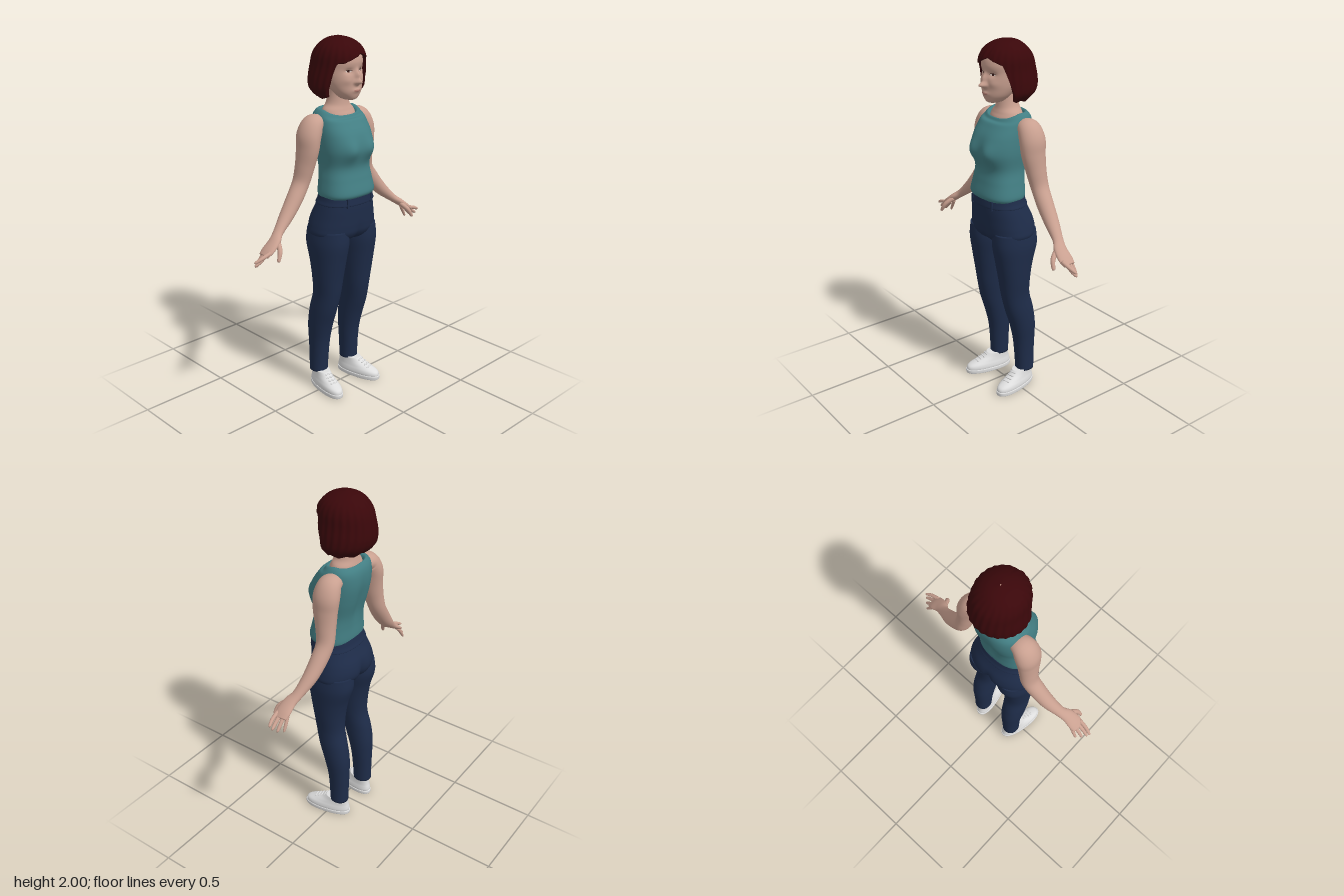
import * as THREE from 'three';
import { mergeVertices } from 'three/addons/utils/BufferGeometryUtils.js';

const { exp, sin, cos, abs, min, max, PI, sign } = Math;
const V = (x, y, z) => new THREE.Vector3(x, y, z);
const smooth = THREE.MathUtils.smoothstep;

// Smooth interpolation through rows of numbers, t from 0 to 1
function sample(rows, t) {
  const f = min(max(t, 0), 1) * (rows.length - 1), i = min(Math.floor(f), rows.length - 2), k = f - i;
  const at = j => rows[min(max(j, 0), rows.length - 1)];
  const [a, b, c, d] = [at(i - 1), at(i), at(i + 1), at(i + 2)];
  return b.map((q, n) => q + 0.5 * k * (c[n] - a[n] + k * (2 * a[n] - 5 * q + 4 * c[n] - d[n] + k * (3 * (q - c[n]) + d[n] - a[n]))));
}

// Welded grid surface from fn(u, v)
function grid(fn, nu, nv) {
  const pos = [], idx = [];
  for (let j = 0; j <= nv; j++) for (let i = 0; i <= nu; i++) pos.push(...fn((i % nu) / nu, j / nv).toArray());
  for (let j = 0; j < nv; j++) for (let i = 0; i < nu; i++) {
    const a = j * (nu + 1) + i, d = a + nu + 1;
    idx.push(a, a + 1, d + 1, a, d + 1, d);
  }
  const g = new THREE.BufferGeometry();
  g.setAttribute('position', new THREE.Float32BufferAttribute(pos, 3));
  g.setIndex(idx);
  const m = mergeVertices(g, 1e-5);
  m.computeVertexNormals();
  return m;
}

// Horizontal section from height, half width, front z, back z, centre x
const ring = (y, hx, zf, zb, x = 0) => [x, y, (zf + zb) / 2, hx, (zf - zb) / 2];

// Point on a body of elliptical sections [x, y, z, ra, rb]
function pointOn(rows, { n = 2, warp, path = false } = {}) {
  return (th, t, scale = 1) => {
    const [x, y, z, ra, rb] = sample(rows, t);
    let T = V(0, 1, 0);
    if (path) {
      const p = sample(rows, t - 0.01), q = sample(rows, t + 0.01);
      T = V(q[0] - p[0], q[1] - p[1], q[2] - p[2]).normalize();
    }
    const B = V(0, 0, 1).addScaledVector(T, -T.z).normalize(), A = T.clone().cross(B);
    const s = sin(th), c = cos(th), e = 2 / n;
    const p = V(x, y, z).addScaledVector(A, scale * ra * sign(s) * abs(s) ** e).addScaledVector(B, scale * rb * sign(c) * abs(c) ** e);
    if (warp) warp(p, th);
    return p;
  };
}
function loft(rows, opts = {}) {
  const f = pointOn(rows, opts), nv = opts.steps || 40;
  return grid((u, v) => {
    const j = Math.round(v * (nv + 2));
    return f(u * 2 * PI, (j - 1) / nv, j === 0 || j === nv + 2 ? 0 : 1);
  }, opts.seg || 40, nv + 2);
}

function mirrored(geo) {
  const g = geo.clone().scale(-1, 1, 1), a = g.index.array;
  for (let i = 0; i < a.length; i += 3) [a[i], a[i + 1]] = [a[i + 1], a[i]];
  return g;
}
const bump = (x, y, cx, cy, sx, sy) => exp(-(((x - cx) / sx) ** 2) - ((y - cy) / sy) ** 2);

export function createModel() {
  const model = new THREE.Group();
  model.name = 'woman';
  const mat = (name, color, side = THREE.FrontSide) => {
    const m = new THREE.MeshStandardMaterial({ color, side });
    m.name = name;
    return m;
  };
  const skin = mat('skin', 0xc9a090), hairMat = mat('dark red hair', 0x3a070a, THREE.DoubleSide);
  const teal = mat('teal fabric', 0x437f84), denim = mat('navy denim', 0x1e2c49);
  const white = mat('white shoe', 0xdedede), dark = mat('dark brown', 0x3a1c18, THREE.DoubleSide);
  const eyeWhite = mat('eye white', 0xd8c8c0, THREE.DoubleSide), lip = mat('lip', 0xb47f74, THREE.DoubleSide);
  const add = (name, geo, m) => {
    const mesh = new THREE.Mesh(geo, m);
    mesh.name = name;
    model.add(mesh);
  };
  const pair = (name, geo, m) => {
    add('left' + name, geo, m);
    add('right' + name, mirrored(geo), m);
  };

  // Head with nose, lips and eye sockets raised from the face
  const headRows = [ring(1.68, .025, .095, .02), ring(1.69, .045, .11, 0), ring(1.72, .075, .12, -.03), ring(1.76, .095, .121, -.07),
    ring(1.8, .104, .121, -.1), ring(1.84, .107, .118, -.115), ring(1.88, .108, .122, -.12), ring(1.92, .1, .11, -.12),
    ring(1.96, .07, .07, -.09), ring(1.98, .03, .02, -.05)];
  const headOpts = { seg: 112, steps: 84, warp: (p, th) => {
    if (cos(th) < 0) return;
    const x = abs(p.x), y = p.y;
    p.z += .038 * bump(x, y, 0, 1.777, .014, .014) + .02 * bump(x, y, 0, 1.81, .011, .026) + .008 * bump(x, y, 0, 1.732, .024, .011)
      + .005 * bump(x, y, .055, 1.785, .025, .02) - .011 * bump(x, y, .042, 1.832, .02, .014) + .005 * bump(x, y, .015, 1.775, .007, .007);
  } };
  add('head', loft(headRows, headOpts), skin);
  pair('Ear', new THREE.SphereGeometry(1, 16, 12).scale(.012, .032, .02).rotateY(.35).translate(.112, 1.795, .005), skin);

  // Thin face details laid on the head surface
  const face = pointOn(headRows, headOpts);
  const onFace = (x, y, lift) => {
    let th = 0, t = .5, p;
    for (let i = 0; i < 40; i++) {
      p = face(th, t);
      th += (x - p.x) * 5;
      t += (y - p.y) * 2;
    }
    return V(p.x, p.y, p.z + lift);
  };
  const patch = (cx, cy, rx, ry, lift, arch = 0) => grid((u, v) => {
    const a = u * 2 * PI, dx = (1 - v) * cos(a);
    return onFace(cx + rx * dx, cy + ry * (1 - v) * sin(a) - arch * dx * dx, lift);
  }, 20, 4);
  pair('Eye', patch(.042, 1.832, .015, .006, .0015), eyeWhite);
  pair('Iris', patch(.042, 1.832, .006, .0055, .0025), dark);
  pair('Lashes', patch(.042, 1.839, .017, .0018, .003, .005), dark);
  add('mouth', patch(0, 1.732, .024, .006, .0015), lip);

  // Bob haircut: a ridged shell with a side parting and a folded-in rim
  const hairRows = [ring(2.0, .003, -.015, -.021), ring(1.986, .06, .05, -.08), ring(1.955, .108, .1, -.122), ring(1.91, .132, .13, -.155),
    ring(1.85, .14, .135, -.172), ring(1.78, .152, .13, -.18), ring(1.73, .15, .12, -.165), ring(1.69, .12, .09, -.12)];
  const rows = 44, rim = 40;
  add('hair', grid((u, v) => {
    let phi = -u * 2 * PI;
    if (phi < -PI) phi += 2 * PI;
    const j = Math.round(v * rows), t = min(1, j / rim);
    const fringe = 2.85 + .75 * min(1, abs(phi - .2) / .8);
    const end = fringe + (7 - fringe) * smooth(abs(phi), .8, 1.35);
    const s = t * end / 7;
    const [, y, z, hx, hz] = sample(hairRows, s);
    const parting = -.03 * exp(-(((phi - .2) / .1) ** 2)) * smooth(s, .05, .3);
    const k = (1 + parting + .014 * smooth(s, .1, .5) * sin(24 * phi + 6 * s)) * (1 - max(0, j - rim) * .065);
    return V(hx * k * sin(phi), y + .004 * sin(9 * phi) * smooth(s, .8, 1), z + hz * k * cos(phi));
  }, 144, rows), hairMat);

  // Neck and upper chest
  add('neck', loft([ring(1.54, .11, .06, -.1), ring(1.59, .1, .062, -.098), ring(1.62, .09, .05, -.092), ring(1.65, .064, .04, -.085),
    ring(1.7, .052, .035, -.075), ring(1.76, .05, .035, -.07)]), skin);

  // Sleeveless top with a scooped neckline
  add('top', loft([ring(1.165, .154, .155, -.075), ring(1.19, .16, .165, -.08), ring(1.26, .149, .15, -.08), ring(1.33, .14, .14, -.088),
    ring(1.42, .151, .162, -.112), ring(1.5, .152, .147, -.128), ring(1.56, .147, .11, -.13), ring(1.6, .138, .08, -.122),
    ring(1.625, .118, .065, -.105), ring(1.622, .1, .056, -.095), ring(1.6, .088, .045, -.085)], { n: 2.5, seg: 72, steps: 70, warp: (p, th) => {
    const c = cos(th);
    if (c > 0) p.z += .02 * bump(abs(p.x), p.y, .068, 1.425, .045, .055);
    else p.z += .012 * bump(p.x, p.y, 0, 1.4, .03, .13);
    p.y -= .03 * smooth(p.y, 1.57, 1.62) * max(0, c);
  } }), teal);

  // Arms running into the palms
  pair('Arm', loft([[.12, 1.56, -.035, .04, .05], [.165, 1.553, -.035, .054, .065], [.195, 1.5, -.035, .058, .074], [.205, 1.43, -.035, .053, .07],
    [.217, 1.34, -.045, .048, .058], [.238, 1.25, -.055, .043, .05], [.29, 1.17, -.05, .043, .046], [.355, 1.095, -.04, .036, .04],
    [.43, 1.028, -.02, .023, .03], [.475, .993, 0, .02, .038], [.52, .96, .005, .016, .043], [.55, .937, .004, .01, .036]],
  { path: true, seg: 28, steps: 66 }), skin);

  // Fingers and thumb: base, tip and radius
  const fingers = [
    ['Index', [.53, .955, .034], [.58, .938, .03], [.615, .922, .02], .0105],
    ['Middle', [.535, .948, .014], [.578, .917, .014], [.606, .9, .01], .0105],
    ['Ring', [.53, .945, -.006], [.567, .908, -.008], [.59, .886, -.01], .01],
    ['Little', [.52, .95, -.024], [.548, .908, -.03], [.565, .88, -.032], .009],
    ['Thumb', [.465, .99, .02], [.487, .958, .06], [.508, .918, .073], .013]];
  for (const [name, a, b, c, r] of fingers)
    pair(name + 'Finger', loft([[...a, r, r * 1.1], [...b, r * .95, r], [...c, r * .7, r * .7], [c[0] * 1.004, c[1] - .003, c[2], r * .3, r * .3]],
      { path: true, seg: 12, steps: 14 }), skin);

  // Trousers: hips, legs, waistband and belt loops
  add('hips', loft([ring(.9, .09, .06, -.06), ring(.925, .165, .115, -.1), ring(.96, .2, .143, -.128), ring(1.0, .198, .15, -.135),
    ring(1.05, .186, .153, -.125), ring(1.1, .172, .155, -.102), ring(1.15, .157, .154, -.082), ring(1.185, .15, .15, -.075)],
  { n: 2.3, seg: 64, warp: (p, th) => {
    if (cos(th) < 0) p.z += .022 * bump(p.x, p.y, 0, .95, .022, .08);
    else p.z -= .012 * bump(p.x, p.y, 0, .92, .02, .07);
  } }), denim);
  add('waistband', loft([ring(1.125, .166, .158, -.093), ring(1.13, .169, .161, -.095), ring(1.15, .161, .159, -.087), ring(1.18, .155, .155, -.08)],
    { n: 2.3, seg: 64, steps: 12 }), denim);
  pair('BeltLoop', new THREE.BoxGeometry(.012, .05, .01).translate(.085, 1.143, .146), denim);
  pair('Leg', loft([ring(.1, .049, -.004, -.11, .12), ring(.2, .051, .002, -.112, .118), ring(.3, .057, .012, -.115, .117),
    ring(.4, .064, .036, -.115, .118), ring(.5, .067, .068, -.1, .117), ring(.6, .07, .09, -.076, .111), ring(.7, .08, .105, -.078, .11),
    ring(.8, .09, .122, -.095, .108), ring(.9, .1, .138, -.124, .104), ring(.98, .095, .135, -.12, .1)], { n: 2.15, steps: 60 }), denim);

  // Shoes, turned slightly outwards, with soles and laces
  const place = g => g.rotateY(.19).translate(.127, 0, .008);
  pair('Shoe', place(loft([ring(.01, .047, .147, -.12), ring(.03, .052, .151, -.126), ring(.048, .05, .14, -.124), ring(.065, .045, .1, -.12),
    ring(.085, .041, .05, -.117), ring(.108, .039, .018, -.115)], { n: 2.3, steps: 30 })), white);
  pair('Sole', place(loft([ring(0, .05, .15, -.125), ring(.003, .053, .154, -.129), ring(.02, .054, .156, -.13), ring(.024, .051, .153, -.127)],
    { n: 2.3, steps: 12 })), white);
  for (let i = 0; i < 4; i++)
    pair('Lace' + (i + 1), place(new THREE.CapsuleGeometry(.004, .036, 4, 8).rotateZ(PI / 2).translate(0, .069 + i * .01, .088 - i * .02)), white);

  return model;
}
